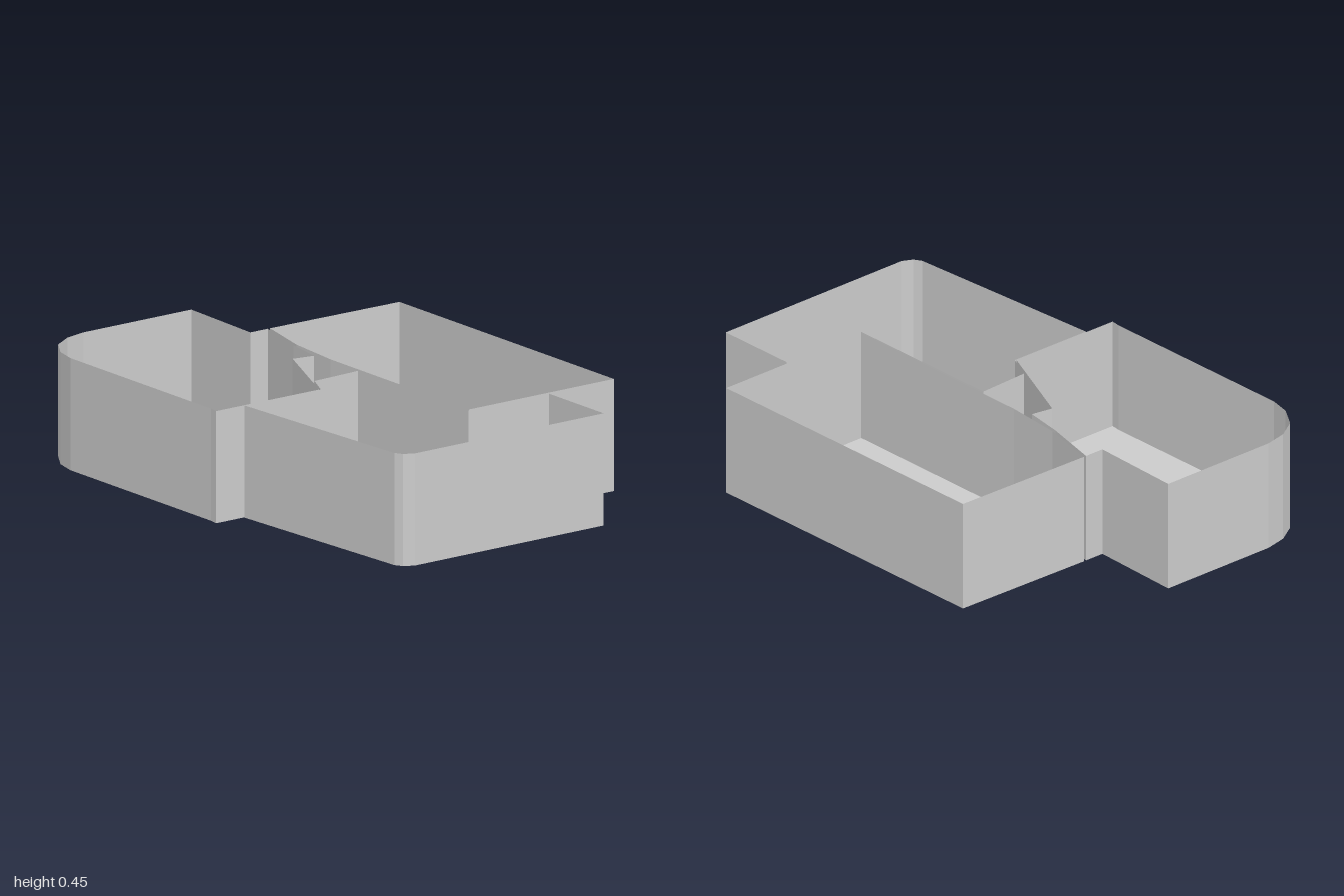
import * as THREE from 'three';

const FLOOR = 0.022, TOP = 0.446;
const material = new THREE.MeshStandardMaterial({ color: 0xcccccc, flatShading: true, side: THREE.DoubleSide });

// Plan outlines as [x, z] corners
const backRoom = [[-0.62, -0.705], [0.66, -0.705], [0.66, -0.042], [-0.17, -0.045], [-0.4, -0.065], [-0.63, -0.12]];
const westRoom = [
  [-1, -0.043], [-0.63, -0.03], [-0.63, -0.11], [-0.4, -0.052], [-0.245, -0.026], [-0.26, 0.06], [0.12, 0.23],
  [0.118, 0.7], [0.08, 0.695], [-0.76, 0.695], [-0.845, 0.675], [-0.93, 0.62], [-0.98, 0.54], [-1, 0.45],
];
const eastRoom = [
  [0.67, -0.4], [0.998, -0.4], [1, 0.465], [0.98, 0.505], [0.95, 0.522], [0.122, 0.573], [0.124, 0.225],
  [0.02, 0.175], [0.01, -0.033], [0.67, -0.033],
];
const stairwell = [[0.022, -0.016], [0.61, -0.016], [0.61, 0.16], [0.03, 0.16]];

const toPoints = (outline) => outline.map(([x, z]) => new THREE.Vector2(x, z));

function addMesh(parent, name, geometry) {
  const mesh = new THREE.Mesh(geometry, material);
  mesh.name = name;
  parent.add(mesh);
  return mesh;
}

// Thin upright wall following a closed outline
function wallGeometry(outline, y0, y1) {
  const positions = [];
  outline.forEach(([ax, az], i) => {
    const [bx, bz] = outline[(i + 1) % outline.length];
    positions.push(ax, y0, az, ax, y1, az, bx, y1, bz, ax, y0, az, bx, y1, bz, bx, y0, bz);
  });
  const geometry = new THREE.BufferGeometry();
  geometry.setAttribute('position', new THREE.Float32BufferAttribute(positions, 3));
  geometry.computeVertexNormals();
  return geometry;
}

// Open-topped room: floor slab with an optional opening, and walls
function room(name, outline, opening) {
  const group = new THREE.Group();
  group.name = name;
  const shape = new THREE.Shape(toPoints(outline));
  if (opening) shape.holes.push(new THREE.Path(toPoints(opening)));
  addMesh(group, 'floor', new THREE.ShapeGeometry(shape).rotateX(Math.PI / 2).translate(0, FLOOR, 0));
  addMesh(group, 'walls', wallGeometry(outline, FLOOR, TOP));
  return group;
}

// Handrail with evenly spaced posts along the stairwell
function railing() {
  const group = new THREE.Group();
  group.name = 'railing';
  addMesh(group, 'handrail', new THREE.BoxGeometry(0.32, 0.01, 0.014)).position.set(0.18, 0.107, 0.171);
  for (let i = 0; i < 5; i++) {
    addMesh(group, 'post', new THREE.BoxGeometry(0.008, 0.104, 0.008)).position.set(0.05 + i * 0.064, 0.052, 0.171);
  }
  return group;
}

export function createModel() {
  const model = new THREE.Group();
  model.name = 'floorPlan';
  model.add(
    room('backRoom', backRoom),
    room('westRoom', westRoom),
    room('eastRoom', eastRoom, stairwell),
    railing(),
  );
  // Edge trim of the stairwell opening, hanging below the floor
  addMesh(model, 'stairwellTrim', wallGeometry(stairwell, 0, FLOOR));
  return model;
}
